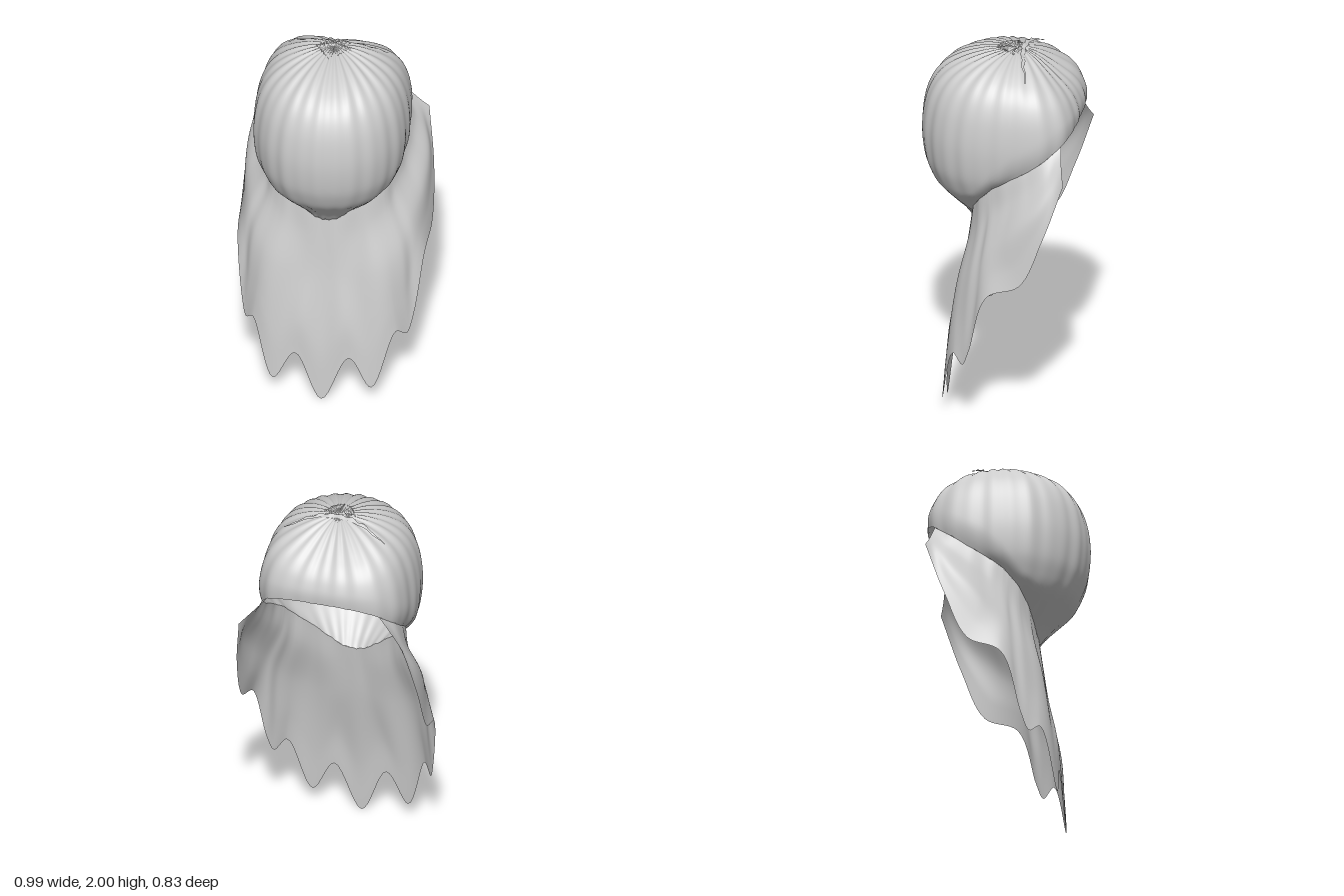
import * as THREE from 'three';
import { mergeVertices } from 'three/addons/utils/BufferGeometryUtils.js';

const V = (x, y, z) => new THREE.Vector3(x, y, z);

// Smooth sheet from a rule fn(u, v) -> Vector3, with u and v in 0..1
function sheet(fn, nu, nv) {
  const pos = [], idx = [];
  for (let j = 0; j <= nv; j++)
    for (let i = 0; i <= nu; i++) pos.push(...fn(i / nu, j / nv).toArray());
  for (let j = 0; j < nv; j++)
    for (let i = 0; i < nu; i++) {
      const a = j * (nu + 1) + i, b = a + 1, c = a + nu + 1, d = c + 1;
      idx.push(a, c, b, b, c, d);
    }
  let g = new THREE.BufferGeometry();
  g.setAttribute('position', new THREE.Float32BufferAttribute(pos, 3));
  g.setIndex(idx);
  g = mergeVertices(g, 1e-5);
  g.computeVertexNormals();
  return g;
}

// Piecewise linear lookup in [key, value] pairs with ascending keys
function lookup(table, k) {
  for (let i = 1; i < table.length; i++) {
    const [k0, v0] = table[i - 1], [k1, v1] = table[i];
    if (k <= k1 || i === table.length - 1) return v0 + (v1 - v0) * (k - k0) / (k1 - k0);
  }
}

// Hood profile: relative girth against height
const profile = new THREE.CatmullRomCurve3([
  [0, 1.99], [0.18, 1.984], [0.38, 1.966], [0.61, 1.925], [0.78, 1.87], [0.89, 1.8], [0.965, 1.7],
  [1, 1.55], [0.965, 1.4], [0.89, 1.31], [0.81, 1.25], [0.64, 1.175], [0.48, 1.105], [0.36, 1.04], [0.2, 1.0],
].map(([s, y]) => V(s, y, 0)), false, 'centripetal');

// Height of the slanted opening against z
const rimLine = [[-0.42, 1.64], [-0.3, 1.53], [-0.2, 1.455], [-0.1, 1.395], [0, 1.33], [0.08, 1.25], [0.13, 1.17], [0.15, 1.1], [0.16, 1.03]];

// Point on the hood at angle a (0 = front) and profile position t
function hoodPoint(a, t, tuck = 0) {
  const p = profile.getPoint(t), c = Math.cos(a), sn = Math.sin(a);
  const e = c > 0 ? 2.05 : 3.5;
  const r = 1 / Math.pow(Math.abs(sn) ** e + Math.abs(c) ** e, 1 / e);
  // soft pleats running down from the gather
  const pleat = 0.005 * Math.cos(26 * a) + 0.006 * Math.cos(15 * a + 0.6 * Math.cos(2 * a));
  const s = p.x * (r * (1 + pleat) - tuck);
  const girth = Math.min(1, Math.max(0, p.x));
  const crease = 0.004 * Math.cos(26 * a) * Math.sin(Math.PI * girth);
  // the back of the crown slopes lower than the front
  const slope = c < 0 ? 0.07 * c * c * Math.sin(0.85 * Math.PI * girth ** 1.5) : 0;
  const shift = p.y > 1.55 ? 0.08 * (1 - p.x) : 0;
  return V(0.395 * sn * s, p.y + crease - slope, (c > 0 ? 0.415 : 0.425) * c * s - shift);
}

// Profile position where the hood meets its opening
function rimT(a) {
  for (let t = 0.3; t < 0.93; t += 0.001) {
    const p = hoodPoint(a, t);
    if (p.y <= lookup(rimLine, p.z)) return t;
  }
  return 0.93;
}

// How strongly the cloth is drawn in around the jaw, strongest at the sides
const pinch = a => Math.max(0, Math.cos(1.5 * (Math.abs(a) - 1.3)));

// Hood with its lower edge rolled inward
function hoodSurface(a, v, tEnd) {
  const back = Math.min(1, Math.abs(a) / 1.6);
  const k = Math.max(0, (v - 0.88) / 0.12);
  return hoodPoint(a, v * tEnd, (0.03 * back + (Math.abs(a) < 2.6 ? 0.06 * pinch(a) : 0)) * k * k);
}

// Left half of the drape: rim angle, middle point and hem point per column
const columns = [
  [0, [0, 0.75, 0.2], [0, 0.005, 0.29]],
  [0.6, [0.1, 0.74, 0.195], [0.14, 0.265, 0.27]],
  [0.99, [0.215, 0.74, 0.2], [0.255, 0.095, 0.27]],
  [1.22, [0.32, 0.8, 0.165], [0.37, 0.41, 0.195]],
  [1.37, [0.38, 0.85, 0.105], [0.418, 0.37, 0.14]],
  [1.46, [0.405, 0.92, 0.06], [0.445, 0.46, 0.1]],
  [1.571, [0.425, 1.02, 0.0], [0.485, 0.79, 0.0]],
  [1.856, [0.458, 1.12, -0.11], [0.495, 0.87, -0.17]],
  [2.083, [0.46, 1.28, -0.25], [0.483, 1.13, -0.288]],
  [2.4, [0.385, 1.49, -0.375], [0.44, 1.43, -0.39]],
];

function drapeGeometry() {
  const all = [
    ...columns.slice(1).reverse().map(([a, m, h]) => [-a, [-m[0], m[1], m[2]], [-h[0], h[1], h[2]]]),
    ...columns,
  ];
  const mids = new THREE.CatmullRomCurve3(all.map(c => V(...c[1])));
  const hems = new THREE.CatmullRomCurve3(all.map(c => V(...c[2])));
  const angles = all.map((c, i) => [i / (all.length - 1), c[0]]);
  const cache = new Map();
  const strand = u => {
    if (!cache.has(u)) {
      const a = lookup(angles, u), mid = mids.getPoint(u), hem = hems.getPoint(u);
      const rim = hoodSurface(a, 1, rimT(a));
      // drawn in below the rim before flaring
      const neck = rim.clone().lerp(mid, 0.4);
      neck.x *= 1 - 0.06 * pinch(a);
      neck.z -= 0.01 * pinch(a);
      // the front hangs slightly outward before the hem
      const low = mid.clone().lerp(hem, 0.6);
      low.z += 0.018 * Math.max(0, Math.cos(a));
      cache.set(u, new THREE.CatmullRomCurve3([rim, neck, mid, low, hem]));
    }
    return cache.get(u);
  };
  return sheet((u, v) => {
    const p = strand(u).getPoint(v);
    // shallow folds that fade at the rim and hem
    p.z += 0.004 * Math.cos(u * Math.PI * 22) * Math.sin(Math.PI * v);
    return p;
  }, 144, 32);
}

// Narrow crinkled ribbon lying along the top of the hood
function ruffle(points, width, rise) {
  const path = new THREE.CatmullRomCurve3(points.map(([x, z]) => {
    const s = Math.hypot(x / 0.395, (z + 0.08) / 0.415);
    return V(x, 1.987 - 0.165 * s ** 2.2, z);
  }));
  return sheet((u, v) => {
    const p = path.getPoint(u), fade = Math.sin(Math.PI * (0.08 + 0.84 * u));
    p.z += (v - 0.5) * width * fade + 0.004 * Math.sin(u * 40);
    p.y += rise * v * fade * (0.7 + 0.3 * Math.cos(u * 55));
    return p;
  }, 40, 2);
}

export function createModel() {
  const model = new THREE.Group();
  model.name = 'drapedHood';
  const cloth = new THREE.MeshStandardMaterial({ color: 0xcccccc, side: THREE.DoubleSide });
  cloth.name = 'pale grey cloth';
  const add = (name, geometry) => {
    const mesh = new THREE.Mesh(geometry, cloth);
    mesh.name = name;
    model.add(mesh);
  };

  // Rounded hood, open along the slanted rim at the back
  const ends = new Map();
  add('hood', sheet((u, v) => {
    const a = (u * 2 - 1) * Math.PI;
    if (!ends.has(u)) ends.set(u, rimT(a));
    return hoodSurface(a, v, ends.get(u));
  }, 180, 48));

  // Hanging cloth with a ragged hem
  add('drape', drapeGeometry());

  // Gathered cloth at the crown
  add('crownRuffle', ruffle([[-0.27, -0.165], [-0.13, -0.125], [0, -0.108], [0.13, -0.125], [0.27, -0.165]], 0.022, 0.015));
  add('frontTuck', ruffle([[0, -0.1], [0.008, -0.03], [0, 0.04]], 0.02, 0.012));
  for (const side of [-1, 1]) {
    const name = side > 0 ? 'left' : 'right';
    add(name + 'CrownTuck', ruffle([[0, -0.1], [side * 0.045, -0.08], [side * 0.09, -0.07]], 0.022, 0.012));
    add(name + 'FrontTuck', ruffle([[side * 0.085, -0.07], [side * 0.05, -0.02], [side * 0.005, 0.035]], 0.015, 0.01));
  }
  return model;
}
